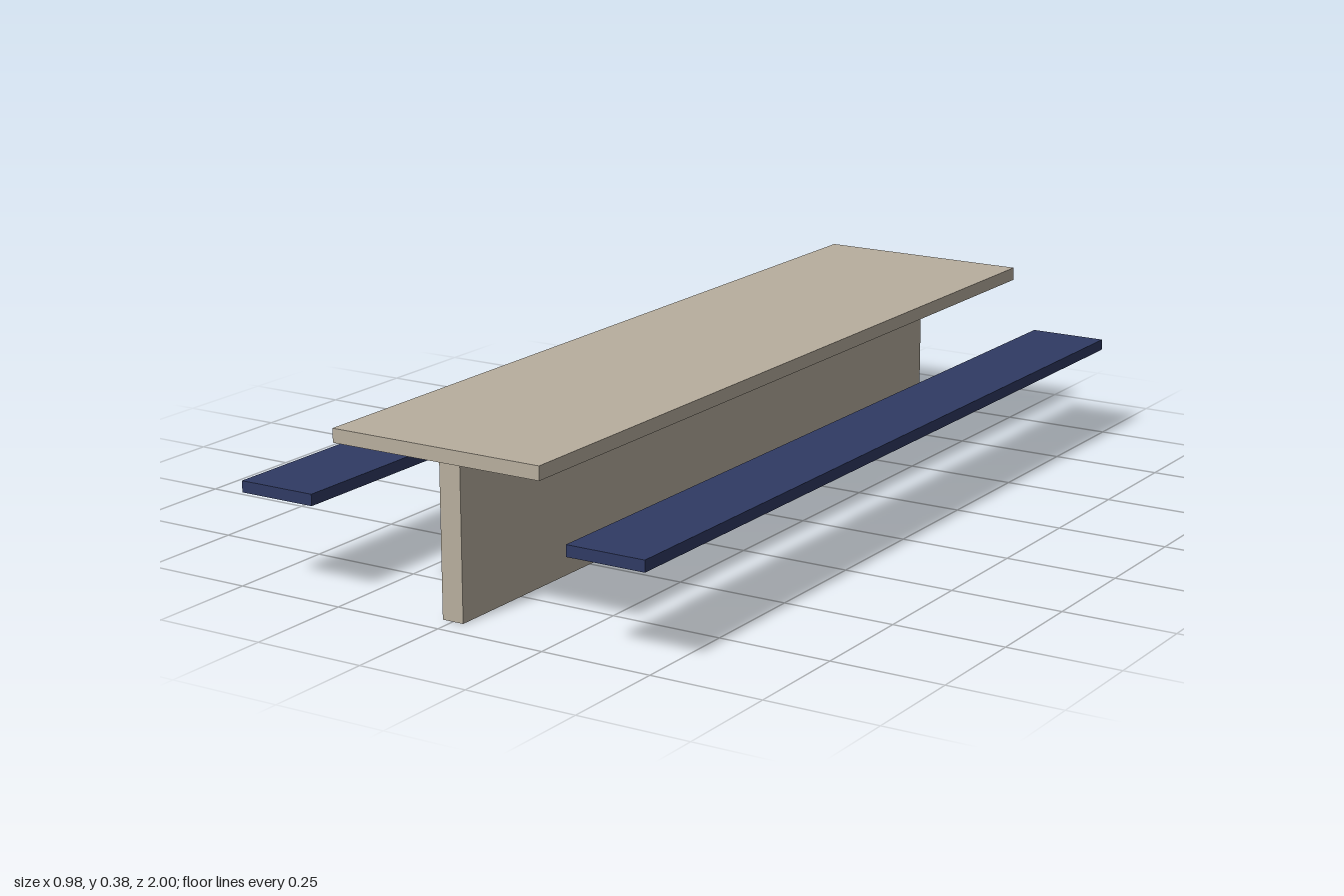
import * as THREE from 'three';

export function createModel() {
  const model = new THREE.Group();
  model.name = 'picnicTable';
  const stone = new THREE.MeshStandardMaterial({ color: 0xb8ae9e });
  const blue = new THREE.MeshStandardMaterial({ color: 0x2f3a63 });

  // Adds a box standing on the height "bottom"
  const addBox = (name, material, width, height, depth, x, bottom) => {
    const mesh = new THREE.Mesh(new THREE.BoxGeometry(width, height, depth), material);
    mesh.name = name;
    mesh.position.set(x, bottom + height / 2, 0);
    model.add(mesh);
  };

  // Table top on its central support wall
  addBox('tableTop', stone, 0.5, 0.03, 2, 0, 0.345);
  addBox('supportWall', stone, 0.05, 0.345, 1.9, 0, 0);

  // Bench seats, mirrored on both sides
  for (const [name, side] of [['leftBench', 1], ['rightBench', -1]]) {
    addBox(name, blue, 0.18, 0.025, 2, side * 0.4, 0.203);
  }
  return model;
}
